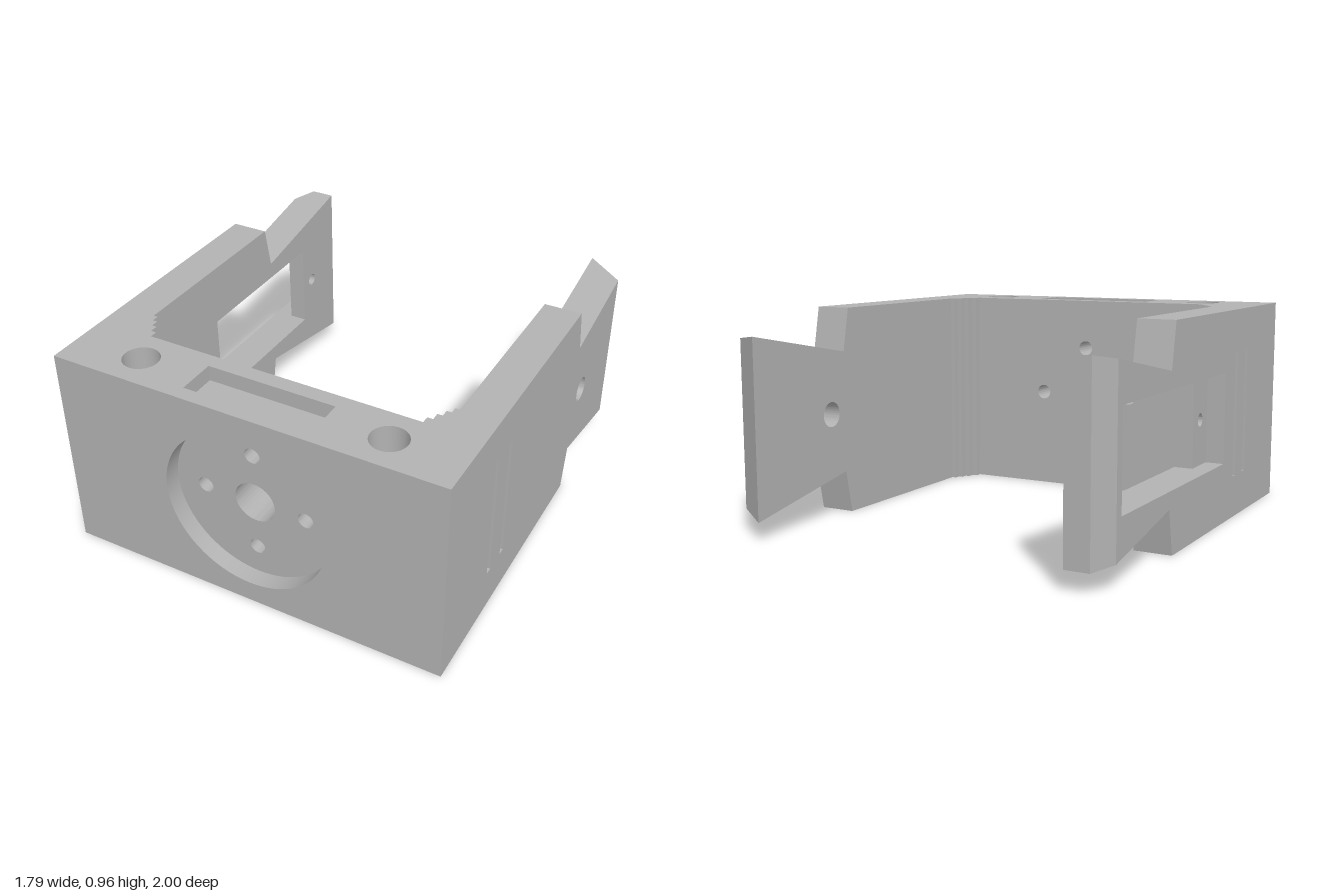
import * as THREE from 'three';
import { toCreasedNormals } from 'three/addons/utils/BufferGeometryUtils.js';

const W = 0.895, H = 0.965, MID = H / 2;   // half width, height, centre height
const INNER = 0.725;                       // inner face of the arms
const POCKET = 0.81, SKIN = 0.835;         // pocket floor and slit floor, as |x|

const polygon = (pts) => new THREE.Shape(pts.map(([a, b]) => new THREE.Vector2(a, b)));
const rect = (a0, b0, a1, b1) => polygon([[a0, b0], [a1, b0], [a1, b1], [a0, b1]]);
const circle = (a, b, r) => new THREE.Path().absarc(a, b, r, 0, Math.PI * 2);

function slab(shape, holes, depth) {
  shape.holes.push(...holes);
  return new THREE.ExtrudeGeometry(shape, { depth, bevelEnabled: false, curveSegments: 40 });
}
// Slabs extruded along z (drawn in x, y), y (drawn in x, -z) and x (drawn in z, y)
const slabZ = (s, holes, z0, z1) => slab(s, holes, z1 - z0).translate(0, 0, z0);
const slabY = (s, holes, y0, y1) => slab(s, holes, y1 - y0).rotateX(-Math.PI / 2).translate(0, y0, 0);
const slabX = (s, holes, x0, x1) => slab(s, holes, x1 - x0).rotateY(-Math.PI / 2).translate(x1, 0, 0);

// Side outline of an arm: full height, then a notch and a flaring tail
const armOutline = (zFront) => polygon([
  [zFront, 0], [zFront, H], [-0.345, H], [-0.385, 0.765], [-1, 0.88],
  [-1, H - 0.88], [-0.385, H - 0.765], [-0.345, 0],
]);

// Cut the tail end back along a slanted line, keeping the flare's slope
function chamferTail(geo, xStart, zOuter) {
  const p = geo.attributes.position;
  for (let i = 0; i < p.count; i++) {
    if (p.getZ(i) > -0.99) continue;
    const t = Math.max(0, (Math.abs(p.getX(i)) - xStart) / (W - xStart));
    const z = -1 + t * (zOuter + 1);
    const half = 0.765 - MID + (-0.385 - z) / 0.615 * 0.115;
    p.setXYZ(i, p.getX(i), MID + Math.sign(p.getY(i) - MID) * half, z);
  }
  return geo;
}

export function createModel() {
  const model = new THREE.Group();
  model.name = 'bracket';
  const grey = new THREE.MeshStandardMaterial({ color: 0xb2b2b2 });
  grey.name = 'grey';

  const add = (parent, name, geo) => {
    const mesh = new THREE.Mesh(toCreasedNormals(geo, 0.5), grey);
    mesh.name = name;
    parent.add(mesh);
  };

  // Front plate: round recess over a centre hole and four screw holes
  const front = new THREE.Group();
  front.name = 'frontPlate';
  model.add(front);
  const cx = 0.45, lip = 0.07, zBack = 0.69, zFloor = 0.92;
  const screws = [[0.24, 0], [-0.24, 0], [0, 0.24], [0, -0.24]]
    .map(([x, y]) => circle(x, MID + y, 0.036));
  add(front, 'recessFloor', slabZ(rect(-cx, lip, cx, H - lip),
    [circle(0, MID, 0.095), ...screws], zBack, zFloor));
  add(front, 'recessRim', slabZ(rect(-cx, lip, cx, H - lip), [circle(0, MID, 0.382)], zFloor, 1));

  // Rectangular recesses in the top and bottom edges
  for (const [name, y] of [['topEdge', H - lip], ['bottomEdge', 0]]) {
    add(front, name, slabY(rect(-cx, -1, cx, -zBack),
      [rect(-0.295, -0.935, 0.295, -0.76)], y, y + lip));
  }

  for (const side of [1, -1]) {
    const label = side > 0 ? 'left' : 'right';
    const arm = new THREE.Group();
    arm.name = label + 'Arm';
    model.add(arm);

    // Corner block with a vertical bolt hole and stepped inner fillet
    const corner = [
      [cx, 1], [SKIN, 1], [SKIN, 0.55], [0.705, 0.55], [0.705, 0.582], [0.683, 0.582],
      [0.683, 0.617], [0.66, 0.617], [0.66, 0.655], [0.635, 0.655], [0.635, zBack], [cx, zBack],
    ].map(([x, z]) => [side * x, -z]);
    add(front, label + 'Corner', slabY(polygon(corner), [circle(side * 0.57, -0.843, 0.08)], 0, H));

    // Arm layers from inside to outside: one has a pivot hole, the other a stepped window
    const windowHole = (z0, z1) => rect(z0, MID - 0.207, z1, MID + 0.207);
    const pivot = () => [circle(-0.483, MID, 0.058)];
    const pocket = () => (side > 0 ? pivot() : [windowHole(-0.86, 0.27)]);
    const ledge = () => (side > 0 ? pivot() : [
      windowHole(-0.69, 0.1), circle(0.185, MID, 0.03), circle(-0.775, MID, 0.03),
    ]);
    const slits = [[0.535, 0.57], [0.4, 0.435]].map(([a, b]) => rect(a, 0.195, b, 0.775));
    const layers = [
      ['innerLayer', INNER, POCKET, 0.55, ledge()],
      ['middleLayer', POCKET, SKIN, 0.55, pocket()],
      ['outerSkin', SKIN, W, 1, [...pocket(), ...slits]],
    ];
    for (const [name, a, b, zFront, holes] of layers) {
      const geo = slabX(armOutline(zFront), holes, Math.min(side * a, side * b), Math.max(side * a, side * b));
      add(arm, name, side > 0 ? chamferTail(geo, INNER, -0.885) : chamferTail(geo, SKIN, -0.905));
    }
  }
  return model;
}
